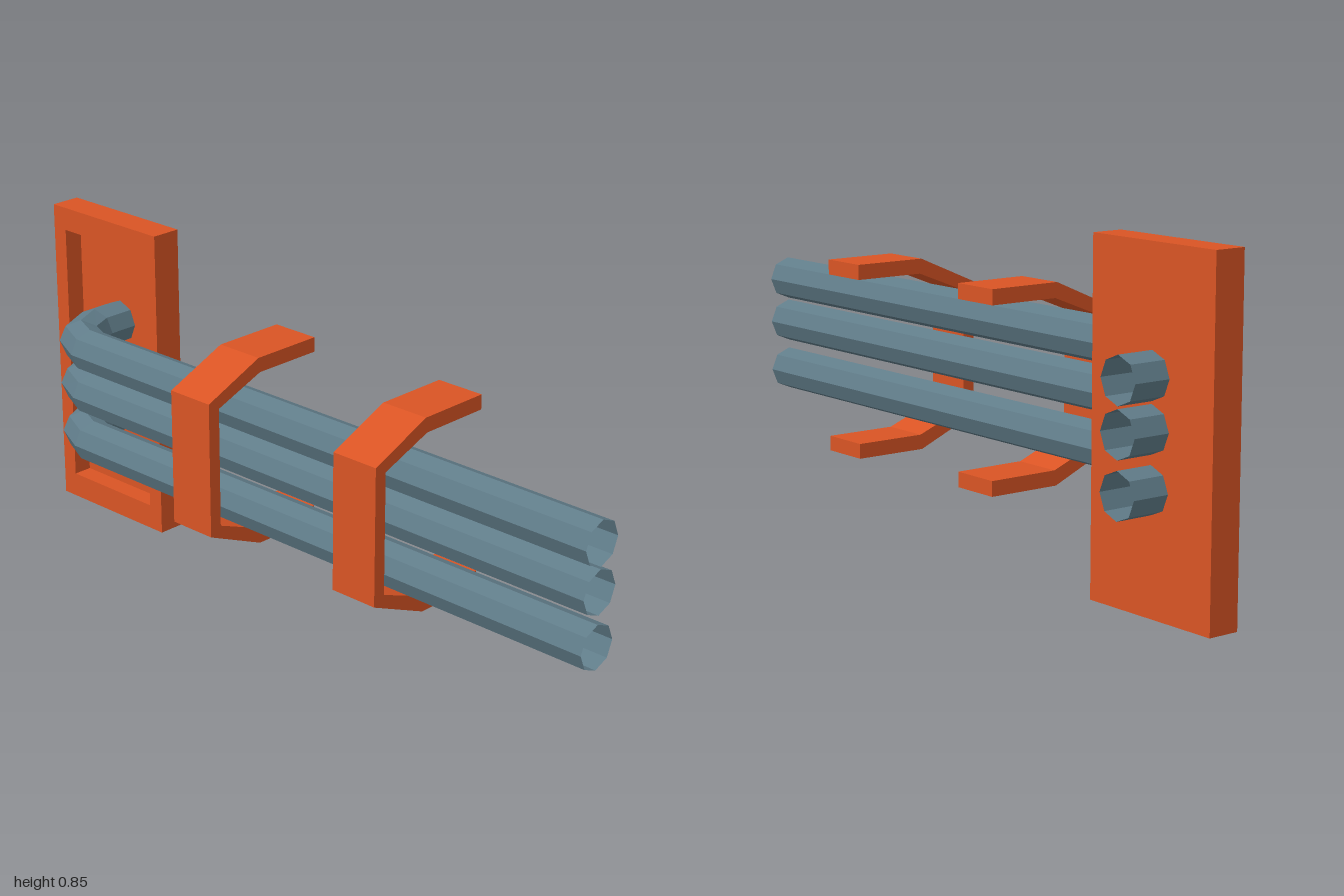
import * as THREE from 'three';

const orange = new THREE.MeshStandardMaterial({ color: 0xd95424, flatShading: true });
orange.name = 'orange paint';
const slate = new THREE.MeshStandardMaterial({ color: 0x607c89, flatShading: true, side: THREE.DoubleSide });
slate.name = 'slate metal';

function add(parent, geometry, material, name) {
  const mesh = new THREE.Mesh(geometry, material);
  mesh.name = name;
  parent.add(mesh);
  return mesh;
}

// Open octagonal pipe: rings [x, z, nx, nz], where n points to the outside of the bend
function pipeGeometry() {
  const r = 0.0575, sides = 8;
  const rings = [
    [-0.802, -0.235, -1, 0],
    [-0.802, -0.012, -1, 0.2],
    [-0.764, 0.069, -0.72, 0.72],
    [-0.69, 0.1025, -0.2, 1],
    [1, 0.1025, 0, 1],
  ];
  const positions = [], index = [];
  for (const [x, z, nx, nz] of rings) {
    for (let k = 0; k < sides; k++) {
      const a = (k / sides) * Math.PI * 2, c = Math.cos(a) * r;
      positions.push(x + nx * c, Math.sin(a) * r, z + nz * c);
    }
  }
  for (let i = 0; i < rings.length - 1; i++) {
    for (let k = 0; k < sides; k++) {
      const a = i * sides + k, b = i * sides + ((k + 1) % sides);
      const d = a + sides, c = b + sides;
      index.push(a, d, c, a, c, b);
    }
  }
  const g = new THREE.BufferGeometry();
  g.setAttribute('position', new THREE.Float32BufferAttribute(positions, 3));
  g.setIndex(index);
  const flat = g.toNonIndexed();
  flat.computeVertexNormals();
  return flat;
}

// Clamp strap: C-shaped profile in (z, y), extruded along x
function clampGeometry(width) {
  const profile = [
    [-0.135, 0.682], [0.065, 0.682], [0.237, 0.608], [0.237, 0.25], [0.065, 0.176], [-0.135, 0.176],
    [-0.135, 0.215], [0.06, 0.215], [0.203, 0.271], [0.203, 0.587], [0.06, 0.643], [-0.135, 0.643],
  ];
  const shape = new THREE.Shape(profile.map(([z, y]) => new THREE.Vector2(z, y)));
  const g = new THREE.ExtrudeGeometry(shape, { depth: width, bevelEnabled: false });
  g.translate(0, 0, -width / 2);
  g.rotateY(-Math.PI / 2);
  return g;
}

function rectangle(PathType, x0, y0, x1, y1) {
  return new PathType([[x0, y0], [x1, y0], [x1, y1], [x0, y1]].map(([x, y]) => new THREE.Vector2(x, y)));
}

export function createModel() {
  const model = new THREE.Group();
  model.name = 'pipeAssembly';

  // Wall plate with a recessed front
  const plate = new THREE.Group();
  plate.name = 'wallPlate';
  model.add(plate);
  const back = -0.135, floor = -0.105, front = -0.052;
  const outline = rectangle(THREE.Shape, -1, 0, -0.6, 0.853);
  const base = new THREE.ExtrudeGeometry(outline, { depth: floor - back, bevelEnabled: false });
  add(plate, base.translate(0, 0, back), orange, 'plateBack');
  const rimShape = rectangle(THREE.Shape, -1, 0, -0.6, 0.853);
  rimShape.holes.push(rectangle(THREE.Path, -0.955, 0.068, -0.645, 0.79));
  const rim = new THREE.ExtrudeGeometry(rimShape, { depth: front - floor, bevelEnabled: false });
  add(plate, rim.translate(0, 0, floor), orange, 'plateRim');

  // Three bent pipes passing through the plate
  const pipe = pipeGeometry();
  [0.5545, 0.4335, 0.2955].forEach((y, i) => {
    add(model, pipe, slate, ['upperPipe', 'middlePipe', 'lowerPipe'][i]).position.y = y;
  });

  // Two clamps around the pipes
  const clamp = clampGeometry(0.134);
  [-0.168, 0.383].forEach((x, i) => {
    add(model, clamp, orange, ['innerClamp', 'outerClamp'][i]).position.x = x;
  });

  return model;
}
